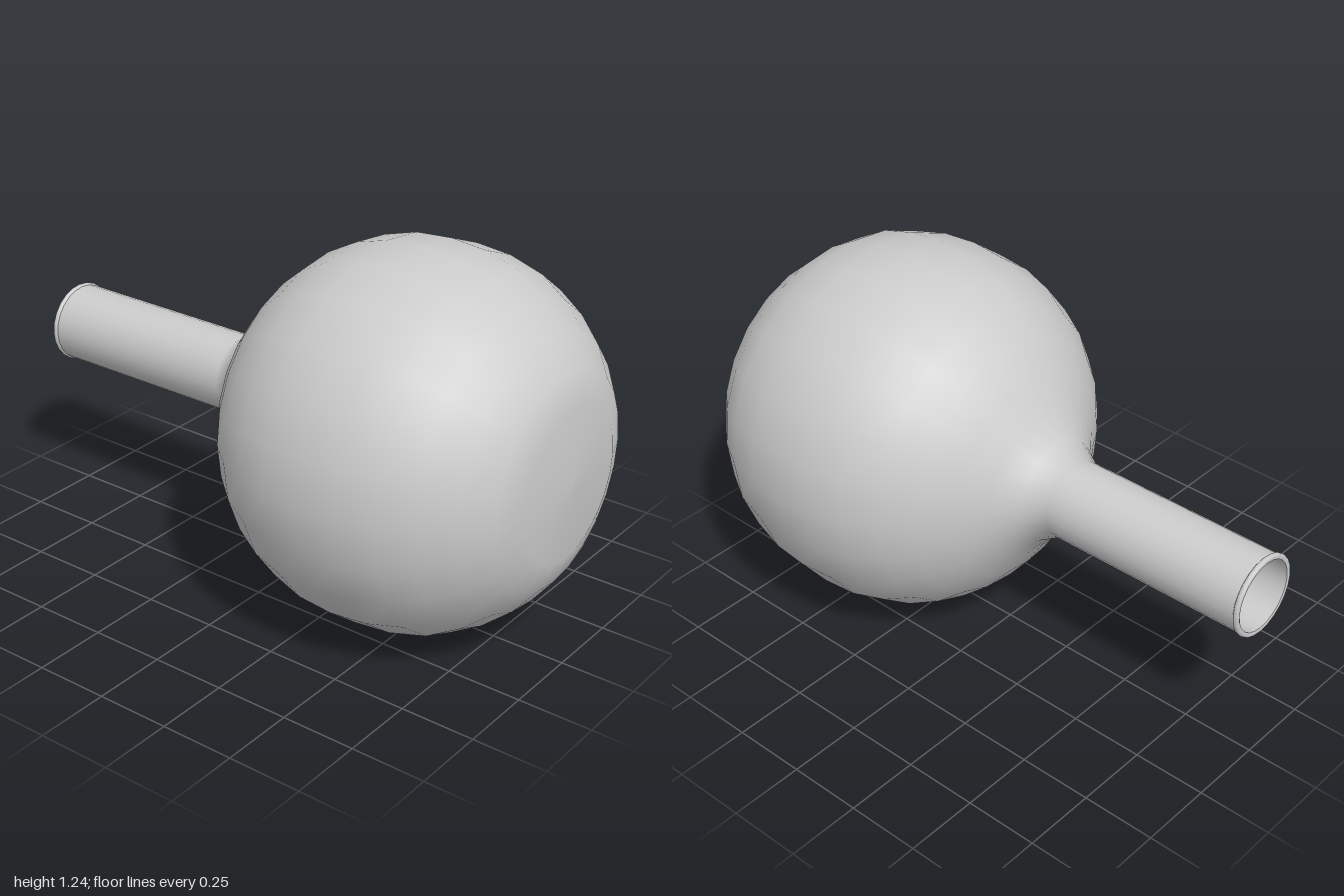
import * as THREE from 'three';

const SIDES = 24;
const CENTRE_Y = 0.62;
const WALL = 0.012;

// Outer profile as [radius, z], from the flattened base to the neck
const base = [[0, 0.998], [0.25, 0.988], [0.35, 0.95], [0.44, 0.88], [0.52, 0.785], [0.577, 0.685],
  [0.61, 0.56], [0.62, 0.435], [0.61, 0.31], [0.577, 0.195], [0.52, 0.09], [0.443, 0],
  [0.35, -0.075], [0.26, -0.13], [0.175, -0.195], [0.132, -0.268]];
const outer = [...base, [0.132, -0.985]];

// Inner profile: the outer one moved inwards by the wall thickness
const inner = outer.map(([r, z], i) => {
  const [r0, z0] = outer[Math.max(i - 1, 0)];
  const [r1, z1] = outer[Math.min(i + 1, outer.length - 1)];
  const length = Math.hypot(r1 - r0, z1 - z0);
  return [i === 0 ? 0 : r + WALL * (z1 - z0) / length, z - WALL * (r1 - r0) / length];
});
inner[inner.length - 1][1] = -0.998;

// Rolled lip around the mouth
const lip = [[0.132, -0.982], [0.137, -0.986], [0.138, -0.992], [0.136, -0.998],
  [0.131, -1], [0.124, -1], [0.12, -0.998]];

// Spins a profile around the z axis
function spin(name, profile, material) {
  const points = profile.map(([r, z]) => new THREE.Vector2(r, -z));
  const geometry = new THREE.LatheGeometry(points, SIDES);
  geometry.rotateX(-Math.PI / 2);
  const mesh = new THREE.Mesh(geometry, material);
  mesh.name = name;
  mesh.position.y = CENTRE_Y;
  return mesh;
}

export function createModel() {
  const group = new THREE.Group();
  group.name = 'flask';
  const material = new THREE.MeshStandardMaterial({ color: 0xcccccc });
  group.add(
    spin('outerWall', outer, material),
    spin('lip', lip, material),
    spin('innerWall', inner.reverse().map((p) => [...p]), material),
  );
  inner.reverse();
  return group;
}
